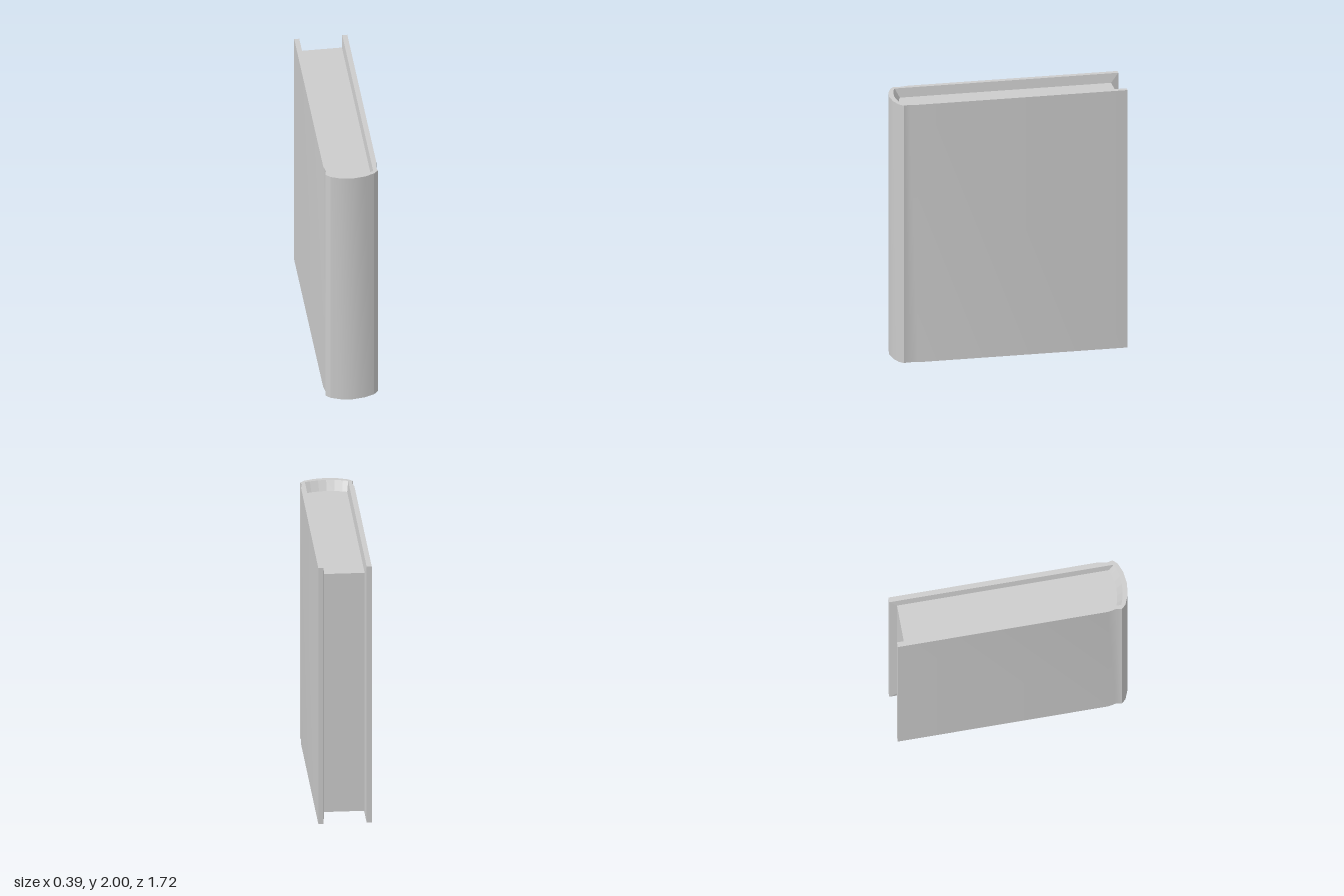
import * as THREE from 'three';
import { toCreasedNormals } from 'three/addons/utils/BufferGeometryUtils.js';

const HEIGHT = 2, INSET = 0.07, BACK = -0.86;

// Half outlines as [x, z], from the open back edge to the middle of the spine
const OUTER = [[0.194, BACK], [0.194, 0.685], [0.183, 0.745], [0.191, 0.788],
  [0.16, 0.82], [0.09, 0.848], [0, 0.86]];
const RIM = [[0.157, BACK], [0.157, 0.79], [0.12, 0.804], [0.06, 0.817], [0, 0.822]];
const PAGE = [[0.147, -0.805], [0.147, 0.753], [0.112, 0.765], [0.055, 0.777], [0, 0.782]];

const mirrored = (half) =>
  [...half, ...half.slice(0, -1).reverse().map(([x, z]) => [-x, z])];

// Two boards and the rounded spine, as one U-shaped wall
function coverGeometry() {
  const outline = [...mirrored(OUTER), ...mirrored(RIM).reverse()];
  const shape = new THREE.Shape(outline.map(([x, z]) => new THREE.Vector2(x, -z)));
  const geometry = new THREE.ExtrudeGeometry(shape, { depth: HEIGHT, bevelEnabled: false });
  geometry.rotateX(-Math.PI / 2);
  return toCreasedNormals(geometry, 0.42);
}

// Recessed page block with sloping faces that meet the cover's inner rim
function pagesGeometry() {
  const rim = mirrored(RIM), page = mirrored(PAGE), last = rim.length - 1;
  const low = INSET, high = HEIGHT - INSET;
  const positions = [];
  const at = ([x, z], y) => [x, y, z];
  const quad = (a, b, c, d) => positions.push(...a, ...b, ...c, ...a, ...c, ...d);

  // Sloping border at the top and bottom
  for (let i = 0; i < last; i++) {
    quad(at(rim[i], HEIGHT), at(page[i], high), at(page[i + 1], high), at(rim[i + 1], HEIGHT));
    quad(at(rim[i], 0), at(rim[i + 1], 0), at(page[i + 1], low), at(page[i], low));
  }
  // Top and bottom page edges, in strips across the thickness
  for (let i = 0; i < last / 2; i++) {
    const a = page[i], b = page[last - i], c = page[last - i - 1], d = page[i + 1];
    quad(at(a, high), at(b, high), at(c, high), at(d, high));
    quad(at(d, low), at(c, low), at(b, low), at(a, low));
  }
  // Fore edge and the sloping strips beside it
  const P = page[0], Q = page[last], R = rim[0], S = rim[last];
  quad(at(P, low), at(Q, low), at(Q, high), at(P, high));
  quad(at(R, 0), at(P, low), at(P, high), at(R, HEIGHT));
  quad(at(S, 0), at(S, HEIGHT), at(Q, high), at(Q, low));

  const geometry = new THREE.BufferGeometry();
  geometry.setAttribute('position', new THREE.Float32BufferAttribute(positions, 3));
  geometry.computeVertexNormals();
  return geometry;
}

export function createModel() {
  const book = new THREE.Group();
  book.name = 'book';
  const material = new THREE.MeshStandardMaterial({ color: 0xcccccc });

  const cover = new THREE.Mesh(coverGeometry(), material);
  cover.name = 'cover';
  const pages = new THREE.Mesh(pagesGeometry(), material);
  pages.name = 'pages';

  book.add(cover, pages);
  return book;
}
